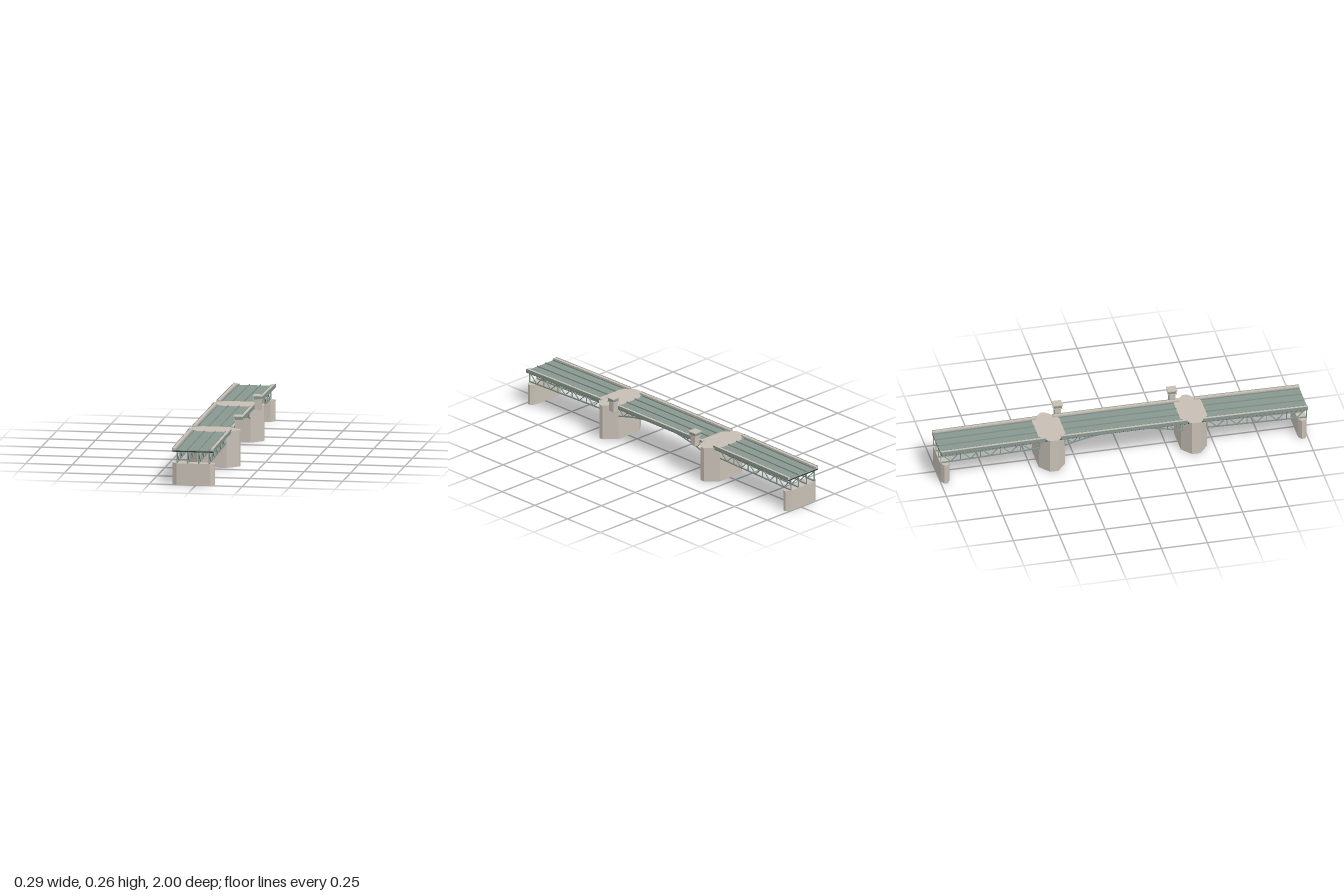
import * as THREE from 'three';
import { mergeGeometries } from 'three/addons/utils/BufferGeometryUtils.js';

const mat = (name, color) => {
  const m = new THREE.MeshStandardMaterial({ color });
  m.name = name;
  return m;
};

// gentle rise of the deck toward midspan
const camber = z => 0.008 * (1 - z * z);

export function createModel() {
  const stone = mat('stone', 0xc7bfb5);
  stone.side = THREE.DoubleSide;
  const steel = mat('green steel', 0x889890);
  const dark = mat('dark deck edge', 0x343b3a);
  const model = new THREE.Group();
  const add = (name, geo, material) => {
    const mesh = new THREE.Mesh(geo, material);
    mesh.name = name;
    model.add(mesh);
  };

  const box = (x0, x1, y0, y1, z0, z1, seg = 1) =>
    new THREE.BoxGeometry(x1 - x0, y1 - y0, z1 - z0, 1, 1, seg)
      .translate((x0 + x1) / 2, (y0 + y1) / 2, (z0 + z1) / 2);

  // long strip following the camber
  const strip = (x0, x1, y0, y1, z0 = -1, z1 = 1) => {
    const g = box(x0, x1, y0, y1, z0, z1, 24);
    const p = g.attributes.position;
    for (let i = 0; i < p.count; i++) p.setY(i, p.getY(i) + camber(p.getZ(i)));
    return g;
  };

  // strip in three lengths, interrupted by the river pier caps
  const spans = (x0, x1, y0, y1) => mergeGeometries(
    [[-1, -0.43], [-0.345, 0.345], [0.43, 1]].map(([a, b]) => strip(x0, x1, y0, y1, a, b)));

  // upright prism with pointed, blunted ends
  const prism = ({ l, r, fl, fr, tl, tr, hz }, y0, y1, z, grow = 0) => {
    const h = hz + grow;
    const pts = [[l - grow, -tl], [fl, -h], [fr, -h], [r + grow, -tr],
      [r + grow, tr], [fr, h], [fl, h], [l - grow, tl]];
    const shape = new THREE.Shape(pts.map(p => new THREE.Vector2(...p)));
    return new THREE.ExtrudeGeometry(shape, { depth: y1 - y0, bevelEnabled: false })
      .rotateX(-Math.PI / 2).translate(0, y0, z);
  };

  // walls of a prism only, open at foot and head
  const walls = g => {
    const first = g.groups[1].start;
    for (const [key, a] of Object.entries(g.attributes)) {
      g.setAttribute(key, new THREE.BufferAttribute(a.array.slice(first * a.itemSize), a.itemSize));
    }
    g.clearGroups();
    return g;
  };

  // straight bar in the plane of a truss
  const bar = (x, z0, y0, z1, y1, t = 0.005) => {
    const g = new THREE.BoxGeometry(0.005, t, Math.hypot(z1 - z0, y1 - y0) + t * 0.5);
    return g.rotateX(-Math.atan2(y1 - y0, z1 - z0)).translate(x, (y0 + y1) / 2, (z0 + z1) / 2);
  };

  // roadway with a dark edge and a steel underside
  add('roadway', strip(-0.11, 0.079, 0.184, 0.187), steel);
  add('deckEdge', strip(-0.126, 0.095, 0.178, 0.184), dark);
  add('deckUnderside', strip(-0.126, 0.095, 0.1765, 0.178, -0.999, 0.999), steel);

  // raised sidewalks with steel fascias
  add('rightSidewalk', spans(-0.126, -0.11, 0.184, 0.197), stone);
  add('leftSidewalk', spans(0.079, 0.095, 0.184, 0.197), stone);
  add('rightFascia', spans(-0.128, -0.126, 0.18, 0.199), steel);
  add('leftFascia', spans(0.095, 0.097, 0.18, 0.199), steel);

  // piers
  const river = { l: -0.14, r: 0.136, fl: -0.082, fr: 0.075, tl: 0.022, tr: 0.012, hz: 0.071 };
  const end = { l: -0.127, r: 0.097, fl: -0.104, fr: 0.075, tl: 0.008, tr: 0.008, hz: 0.0235 };
  for (const s of [-1, 1]) {
    add('riverPier', walls(prism(river, 0, 0.189, s * 0.387)), stone);
    add('riverPierCap', prism(river, 0.189, 0.1957, s * 0.387, 0.003), stone);
    add('endPier', walls(prism(end, 0, 0.108, s * 0.974)), stone);
    add('endPierCap', prism(end, 0.108, 0.116, s * 0.974, 0.0025), stone);
  }

  // trusses under the deck, with thin ribs rising through the road
  const upper = z => 0.174 + camber(z);
  const lowerSide = z => 0.119 + 0.014 * (0.997 - Math.abs(z)) / 0.537;
  const lowerArch = z => 0.181 - 0.05 * (z / 0.32) ** 2;
  const truss = (x, z0, z1, lower, n, parts) => {
    for (let i = 0; i <= n; i++) {
      const a = z0 + (z1 - z0) * i / n;
      const b = z0 + (z1 - z0) * (i + 1) / n;
      const gap = upper(a) - lower(a);
      if (i % 2 === 0 && gap > 0.006) parts.push(bar(x, a, lower(a), a, upper(a), 0.004));
      if (i === n) continue;
      parts.push(bar(x, a, upper(a), b, upper(b), 0.008));
      parts.push(bar(x, a, lower(a), b, lower(b), 0.007));
      if (gap < 0.006) continue;
      if (i % 2 === 0) parts.push(bar(x, a, upper(a), b, lower(b), 0.004));
      else parts.push(bar(x, a, lower(a), b, upper(b), 0.004));
    }
  };
  for (const x of [-0.102, -0.045, 0.015, 0.071]) {
    const parts = [];
    for (const s of [-1, 1]) {
      truss(x, s * 0.997, s * 0.455, lowerSide, 10, parts);
      const [a, b] = s > 0 ? [0.46, 0.998] : [-0.998, -0.46];
      parts.push(strip(x - 0.0015, x + 0.0015, 0.183, 0.194, a, b));
    }
    truss(x, -0.32, 0.32, lowerArch, 16, parts);
    parts.push(strip(x - 0.0015, x + 0.0015, 0.183, 0.194, -0.315, 0.315));
    add('truss', mergeGeometries(parts), steel);
  }

  // lookout towers
  for (const s of [-1, 1]) {
    const block = (name, x0, x1, y0, y1, m) => {
      const h = (x1 - x0) / 2;
      add(name, box(x0, x1, y0, y1, s * 0.312 - h, s * 0.312 + h), m);
    };
    block('towerBody', 0.099, 0.133, 0.18, 0.234, stone);
    block('towerLedge', 0.092, 0.14, 0.234, 0.238, stone);
    block('towerCabin', 0.096, 0.137, 0.238, 0.255, steel);
    block('towerRoof', 0.09, 0.142, 0.255, 0.259, stone);
  }
  return model;
}
